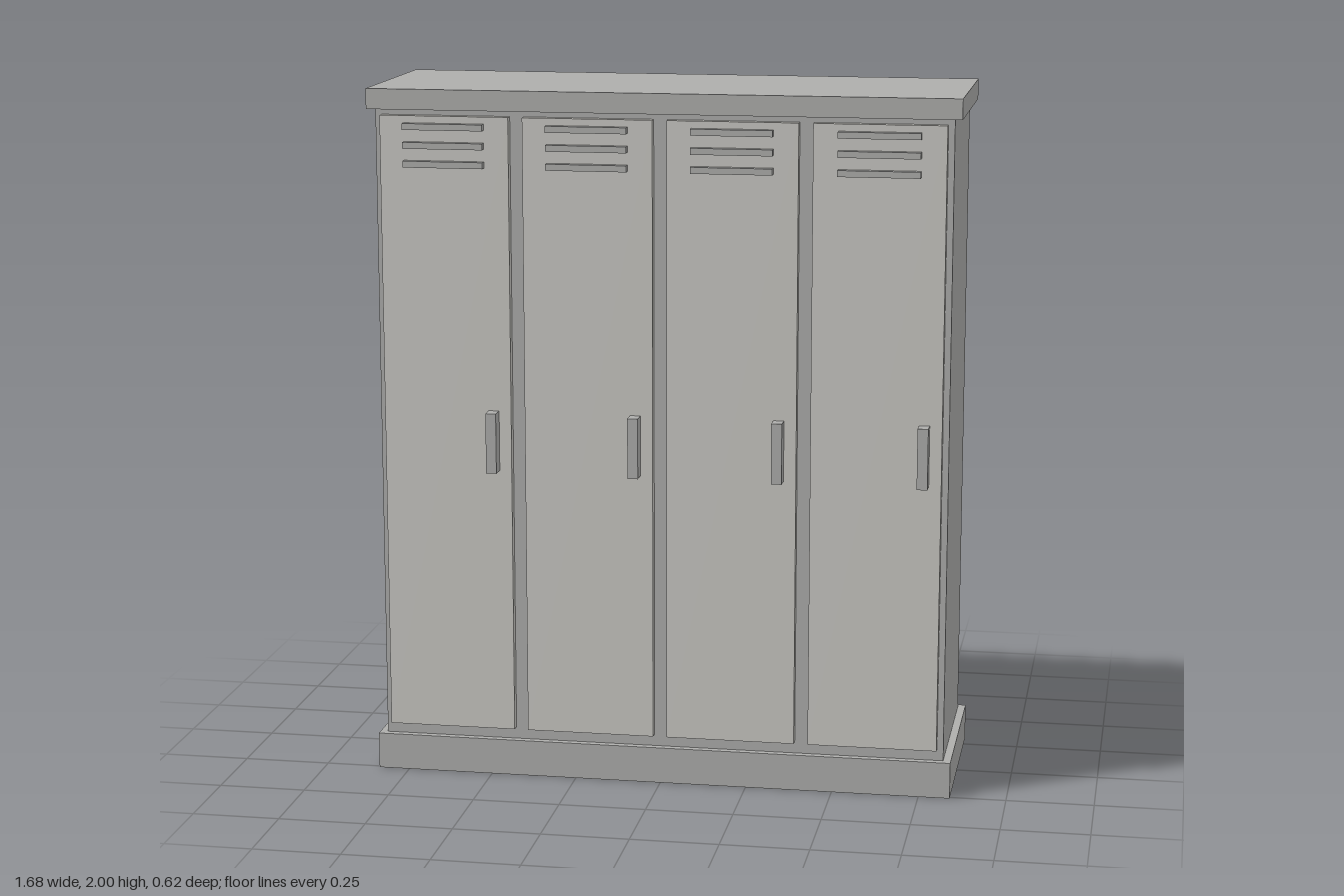
import * as THREE from 'three';

const frameGrey = new THREE.MeshStandardMaterial({ color: 0xaeaeac });
frameGrey.name = 'frameGrey';
const doorGrey = new THREE.MeshStandardMaterial({ color: 0xc9c8c3 });
doorGrey.name = 'doorGrey';

// Box given by its limits on each axis
function box(name, material, [x0, x1], [y0, y1], [z0, z1]) {
  const mesh = new THREE.Mesh(new THREE.BoxGeometry(x1 - x0, y1 - y0, z1 - z0), material);
  mesh.position.set((x0 + x1) / 2, (y0 + y1) / 2, (z0 + z1) / 2);
  mesh.name = name;
  return mesh;
}

// One locker door with three vent slats and a handle
function createDoor() {
  const door = new THREE.Group();
  door.name = 'door';
  door.add(box('doorPanel', doorGrey, [-0.185, 0.185], [0.14, 1.926], [0.238, 0.264]));
  for (let i = 0; i < 3; i++) {
    const y = 1.897 - i * 0.053;
    door.add(box('ventSlat', frameGrey, [-0.115, 0.115], [y - 0.009, y + 0.009], [0.26, 0.286]));
  }
  door.add(box('handle', frameGrey, [0.12, 0.15], [0.913, 1.087], [0.26, 0.308]));
  return door;
}

export function createModel() {
  const lockers = new THREE.Group();
  lockers.name = 'lockers';

  // Cabinet with overhanging plinth and top
  lockers.add(box('plinth', frameGrey, [-0.84, 0.84], [0, 0.105], [-0.308, 0.26]));
  lockers.add(box('cabinet', frameGrey, [-0.818, 0.818], [0.105, 1.942], [-0.287, 0.239]));
  lockers.add(box('topSlab', frameGrey, [-0.84, 0.84], [1.942, 2], [-0.308, 0.26]));

  // Row of four doors
  for (let i = 0; i < 4; i++) {
    const door = createDoor();
    door.position.x = (i - 1.5) * 0.41;
    lockers.add(door);
  }
  return lockers;
}
